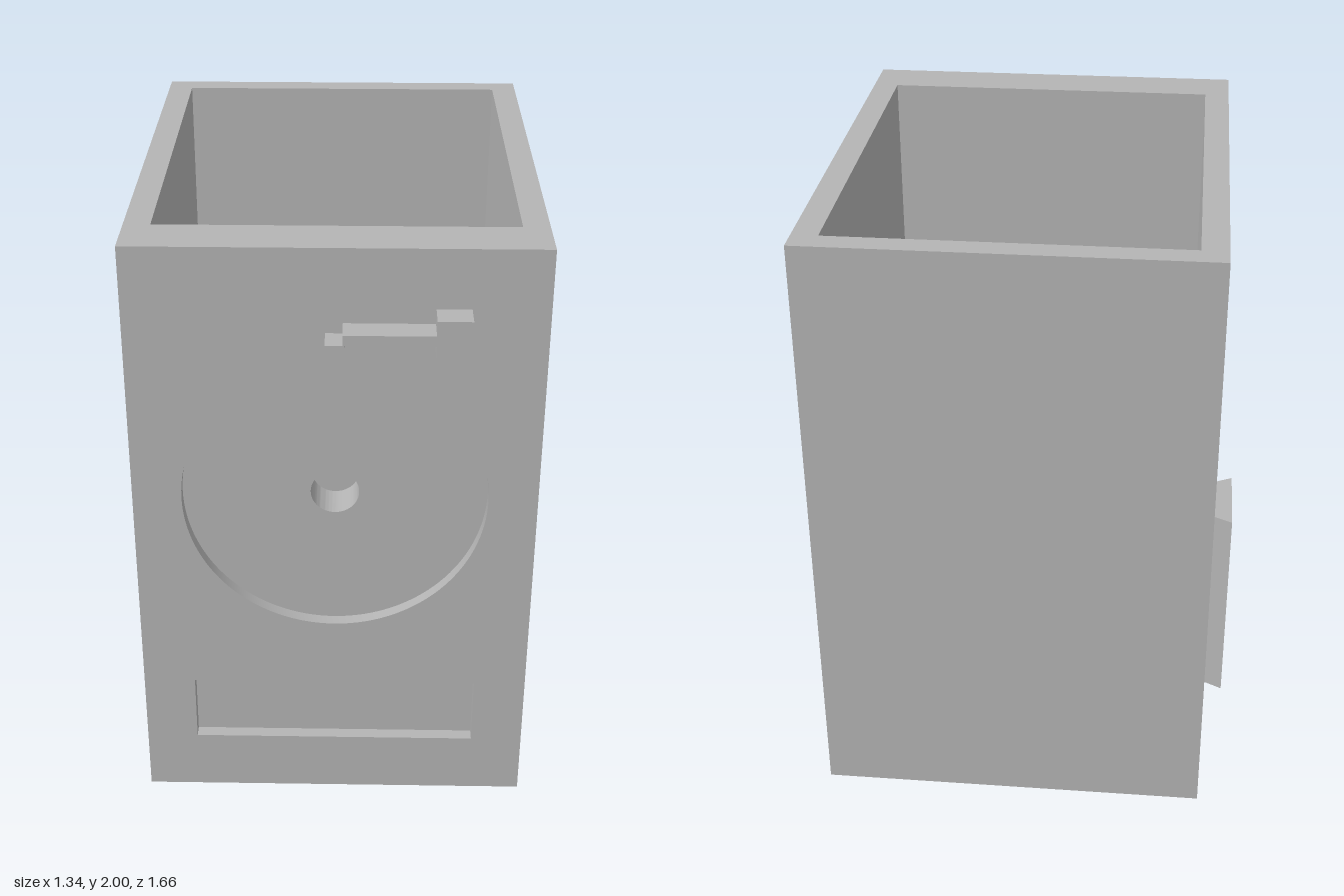
import * as THREE from 'three';
import { toCreasedNormals } from 'three/addons/utils/BufferGeometryUtils.js';

// Outer box, cavity and front panel planes
const X0 = -0.592, X1 = 0.672, Z0 = -0.83, Z1 = 0.745, H = 2;
const IX0 = -0.51, IX1 = 0.59, IZ0 = -0.752, IZ1 = 0.576;
const FLOOR = 0.083, RECESS = 0.703;
const DISC = { x: 0.04, y: 1.16 };

const polygon = (points) => new THREE.Shape(points.map(([x, y]) => new THREE.Vector2(x, y)));
const rect = (x0, x1, y0, y1) => polygon([[x0, y0], [x1, y0], [x1, y1], [x0, y1]]);
const circle = (r) => new THREE.Path().absarc(DISC.x, DISC.y, r, 0, Math.PI * 2, true);

export function createModel() {
  const group = new THREE.Group();
  const grey = new THREE.MeshStandardMaterial({ color: 0xb4b4b4 });
  grey.name = 'plain grey';

  const add = (name, geometry) => {
    const mesh = new THREE.Mesh(geometry, grey);
    mesh.name = name;
    group.add(mesh);
  };
  // Extrude an x-y outline from z0 to z1
  const alongZ = (shape, z0, z1) => toCreasedNormals(
    new THREE.ExtrudeGeometry(shape, { depth: z1 - z0, bevelEnabled: false, curveSegments: 64 })
      .translate(0, 0, z0), 0.5);
  // Extrude an outline given as (x, -z) from y0 to y1
  const alongY = (shape, y0, y1) =>
    new THREE.ExtrudeGeometry(shape, { depth: y1 - y0, bevelEnabled: false })
      .rotateX(-Math.PI / 2).translate(0, y0, 0);

  // Back and side walls as one U, open towards the front panel
  add('sideAndBackWalls', alongY(polygon([
    [X0, -IZ1], [IX0, -IZ1], [IX0, -IZ0], [IX1, -IZ0],
    [IX1, -IZ1], [X1, -IZ1], [X1, -Z0], [X0, -Z0],
  ]), 0, H));
  add('floor', alongY(rect(IX0, IX1, -IZ1, -IZ0), 0, FLOOR));

  // Front panel: inner layer with the spindle hole through it
  const inner = rect(X0, X1, 0, H);
  inner.holes.push(circle(0.076));
  add('frontPanelInner', alongZ(inner, IZ1, RECESS));

  // Front panel: outer layer cut away for the disc and slot recesses
  const outer = rect(X0, X1, 0, H);
  outer.holes.push(circle(0.478), rect(-0.424, 0.504, 0.21, 0.444));
  add('frontPanelOuter', alongZ(outer, RECESS, Z1));

  // Arm above the disc: small tip, thin bar, square block
  add('arm', alongZ(polygon([
    [0.01, 1.697], [0.067, 1.697], [0.067, 1.73], [0.335, 1.73],
    [0.335, 1.69], [0.44, 1.69], [0.44, 1.81], [0.335, 1.81],
    [0.335, 1.763], [0.062, 1.763], [0.062, 1.73], [0.01, 1.73],
  ]), Z1, 0.83));

  // Dovetail rail on the right side, wider away from the wall
  add('dovetailRail', alongY(polygon([
    [X0, 0.202], [-0.672, 0.243], [-0.672, -0.048], [X0, -0.007],
  ]), 0, 0.74));

  return group;
}
